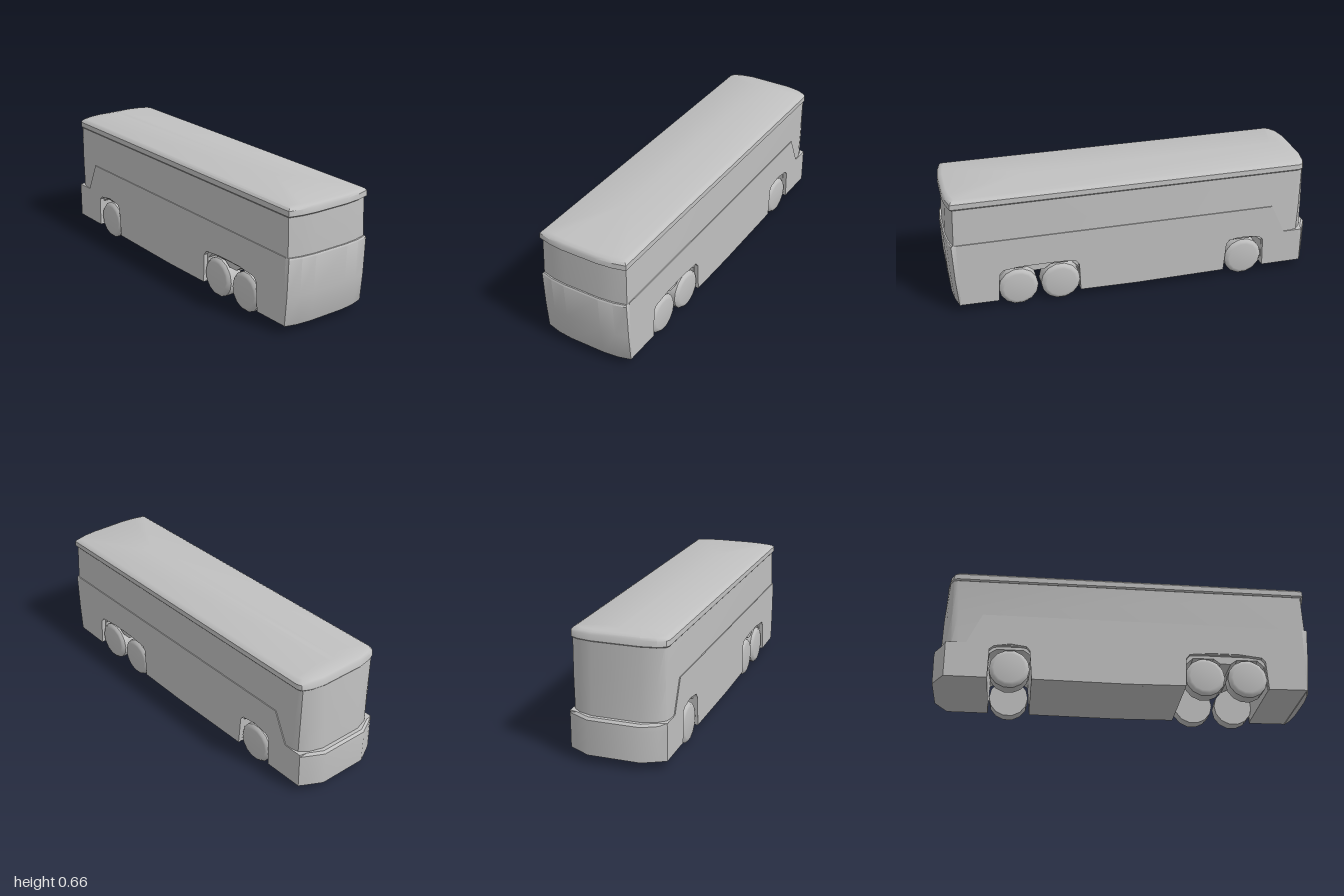
import * as THREE from 'three';
import { toCreasedNormals } from 'three/addons/utils/BufferGeometryUtils.js';

const grey = new THREE.MeshStandardMaterial({ color: 0xc0c0c0 });
grey.name = 'body grey';

// Mirror the +x half of a plan outline, giving a closed loop
const mirrored = (half) => [...half, ...half.map(([x, z]) => [-x, z]).reverse()];

// Plan outline of the whole coach: bowed at +z, rounded nose at -z
const plan = (hw, zr, zf, corner = 0.055) => mirrored([
  [hw * 0.4, zr], [hw * 0.72, zr - 0.008], [hw, zr - 0.025],
  [hw, zf + corner], [hw * 0.96, zf + corner * 0.6], [hw * 0.8, zf + corner * 0.25], [hw * 0.5, zf],
]);

// Skin stacked outlines [y, loop] from the bottom up and close both ends
function loft(rings) {
  const n = rings[0][1].length, pos = [], idx = [];
  for (const [y, loop] of rings) for (const [x, z] of loop) pos.push(x, y, z);
  for (let r = 0; r < rings.length - 1; r++) {
    for (let i = 0; i < n; i++) {
      const a = r * n + i, b = r * n + (i + 1) % n;
      idx.push(a, b, b + n, a, b + n, a + n);
    }
  }
  const top = (rings.length - 1) * n;
  for (let i = 1; i < n - 1; i++) {
    idx.push(0, i + 1, i);
    idx.push(top, top + i, top + i + 1);
  }
  const g = new THREE.BufferGeometry();
  g.setAttribute('position', new THREE.Float32BufferAttribute(pos, 3));
  g.setIndex(idx);
  return toCreasedNormals(g, 0.6);
}

// Extrude a side profile of [z, y] points between x0 and x1
function sideExtrude(points, x0, x1) {
  const shape = new THREE.Shape(points.map(([z, y]) => new THREE.Vector2(z, y)));
  const g = new THREE.ExtrudeGeometry(shape, { depth: x1 - x0, bevelEnabled: false });
  return g.rotateY(-Math.PI / 2).translate(x1, 0, 0);
}

// Side profile of the lower body around two wheel openings
const lowerProfile = (frontArch, rearArch) => [
  [0.95, 0.048], [0.95, 0.4], [-0.755, 0.4], [-0.832, 0.237], [-0.935, 0.237], [-0.935, 0.045],
  ...frontArch, [0, 0.04], ...rearArch,
];

export function createModel() {
  const model = new THREE.Group();
  model.name = 'coach';
  const add = (name, geometry) => {
    const mesh = new THREE.Mesh(geometry, grey);
    mesh.name = name;
    model.add(mesh);
    return mesh;
  };

  // Lower body: a core with tight tunnels and side skins with wider arches
  const coreFront = [[-0.715, 0.045], [-0.71, 0.19], [-0.675, 0.214], [-0.535, 0.214], [-0.5, 0.19], [-0.49, 0.045]];
  const coreRear = [[0.312, 0.045], [0.32, 0.18], [0.355, 0.214], [0.465, 0.214], [0.5, 0.188],
    [0.555, 0.188], [0.59, 0.214], [0.7, 0.214], [0.735, 0.18], [0.747, 0.045]];
  const skinFront = [[-0.716, 0.045], [-0.712, 0.205], [-0.69, 0.224], [-0.605, 0.238], [-0.52, 0.226], [-0.503, 0.205], [-0.489, 0.045]];
  const skinRear = [[0.311, 0.045], [0.316, 0.2], [0.335, 0.225], [0.45, 0.236], [0.6, 0.236], [0.72, 0.222], [0.738, 0.2], [0.75, 0.045]];
  add('lowerBody', sideExtrude(lowerProfile(coreFront, coreRear), -0.225, 0.225));
  add('leftSidePanel', sideExtrude(lowerProfile(skinFront, skinRear), 0.225, 0.248));
  add('rightSidePanel', sideExtrude(lowerProfile(skinFront, skinRear), -0.248, -0.225));

  // Bowed panel closing the +z end of the lower body
  const bow = (hw, z) => mirrored([
    [0.1, z], [0.18, z - 0.008], [hw, z - 0.025], [hw, 0.95],
  ]);
  add('bowedEndPanel', loft([
    [0.042, bow(0.243, 0.976)], [0.052, bow(0.248, 0.981)], [0.2, bow(0.248, 0.993)],
    [0.392, bow(0.248, 1)], [0.4, bow(0.244, 0.995)],
  ]));

  // Bumper wrapping the -z end
  const bumper = (hw, z) => mirrored([
    [hw, -0.92], [hw, -0.937], [hw * 0.85, z + 0.04], [hw * 0.54, z],
  ]);
  add('bumper', loft([
    [0.045, bumper(0.248, -0.998)], [0.2, bumper(0.248, -1)],
    [0.225, bumper(0.248, -0.997)], [0.237, bumper(0.245, -0.985)],
  ]));

  // Window band with a wrap-round windscreen
  add('windowBand', loft([
    [0.23, plan(0.243, 0.985, -0.966, 0.095)],
    [0.4, plan(0.243, 0.988, -0.962, 0.08)],
    [0.602, plan(0.24, 0.979, -0.95)],
  ]));

  // Overhanging roof with chamfered rim and a shallow crown
  add('roof', loft([
    [0.598, plan(0.241, 0.982, -0.947)],
    [0.606, plan(0.248, 0.992, -0.952)],
    [0.633, plan(0.248, 0.99, -0.947)],
    [0.644, plan(0.238, 0.982, -0.94)],
    [0.651, plan(0.225, 0.965, -0.925)],
    [0.6585, plan(0.02, 0.6, -0.88)],
  ]));

  // Wheels: one single axle and one tandem pair
  const profile = [[0, 0.16], [0.105, 0.16], [0.105, 0.228], [0.093, 0.241], [0.08, 0.244], [0, 0.244]];
  const wheel = toCreasedNormals(
    new THREE.LatheGeometry(profile.map(([r, y]) => new THREE.Vector2(r, y)), 14), 0.7);
  for (const [name, z] of [['frontWheel', -0.605], ['middleWheel', 0.415], ['rearWheel', 0.64]]) {
    for (const side of [1, -1]) {
      const mesh = add((side > 0 ? 'left ' : 'right ') + name, wheel);
      mesh.rotation.z = -side * Math.PI / 2;
      mesh.position.set(0, 0.105, z);
    }
  }
  return model;
}
